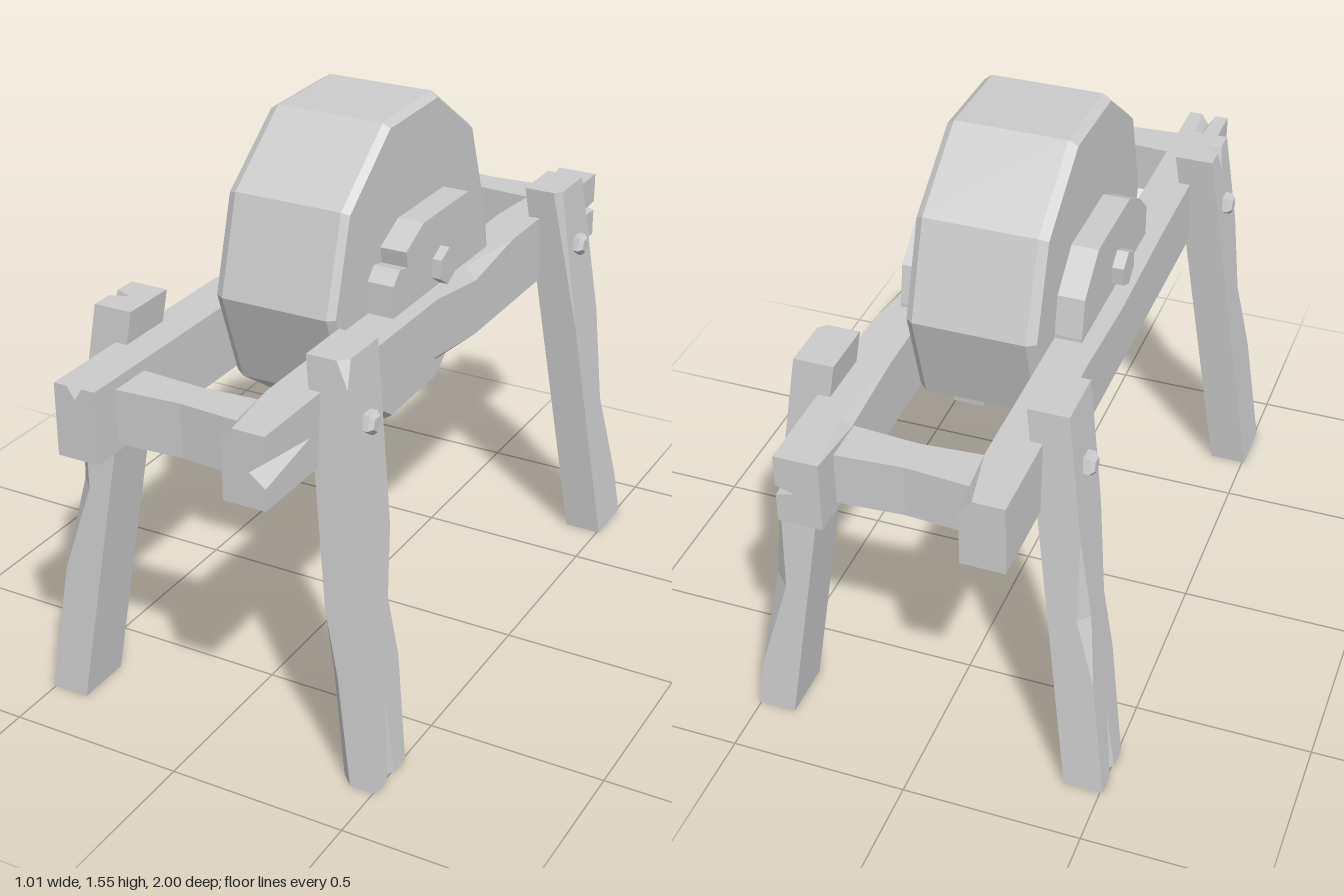
import * as THREE from 'three';

const material = new THREE.MeshStandardMaterial({ color: 0xcccccc, flatShading: true });

function addMesh(parent, name, geometry) {
  const mesh = new THREE.Mesh(geometry, material);
  mesh.name = name;
  parent.add(mesh);
  return mesh;
}

// Beam cross-section in (u, v), counter-clockwise: split on the +u side,
// cut corners at (+u,+v) top, (+u,-v) bottom and (-u,+v) inner
function section(w, h, { split = 0, gap = 0, at = 0, top = 0, bottom = 0, inner = 0 } = {}) {
  const a = w / 2, b = h / 2;
  return [
    [-a, -b], [a - bottom, -b], [a, -b + bottom],
    [a, at - gap], [a - split, at], [a, at + gap],
    [a, b - top], [a - top, b], [-a + inner, b], [-a, b - inner],
  ];
}

// Solid skin through counter-clockwise rings; place(u, v, ringIndex) gives the point in space
function loft(rings, place) {
  const n = rings[0].length;
  const pts = rings.flatMap((ring, k) => ring.map(([u, v]) => new THREE.Vector3(...place(u, v, k))));
  const tris = [];
  for (let k = 0; k < rings.length - 1; k++) {
    for (let i = 0; i < n; i++) {
      const a = k * n + i, b = k * n + (i + 1) % n;
      tris.push([a, b, b + n], [a, b + n, a + n]);
    }
  }
  const cap = (ring) => THREE.ShapeUtils.triangulateShape(ring.map((p) => new THREE.Vector2(...p)), []);
  const last = (rings.length - 1) * n;
  cap(rings[0]).forEach(([a, b, c]) => tris.push([a, c, b]));
  cap(rings[rings.length - 1]).forEach(([a, b, c]) => tris.push([a + last, b + last, c + last]));
  // Signed volume tells whether the skin must be turned outward
  const cross = new THREE.Vector3();
  const volume = tris.reduce((s, [a, b, c]) => s + pts[a].dot(cross.crossVectors(pts[b], pts[c])), 0);
  const order = tris.flatMap(([a, b, c]) => (volume < 0 ? [a, c, b] : [a, b, c]));
  const geometry = new THREE.BufferGeometry().setFromPoints(order.map((i) => pts[i]));
  geometry.computeVertexNormals();
  return geometry;
}

function addRails(group) {
  // Left rail, split along its outer face
  const left = [
    [-1, { split: 0.05, gap: 0.015, at: -0.005 }],
    [-0.8, { inner: 0.025 }],
    [-0.55, {}],
    [-0.38, {}],
    [-0.14, { top: 0.035 }],
    [0.1, { bottom: 0.03 }],
    [0.36, {}],
    [0.79, {}],
    [1, { split: 0.045, gap: 0.035, at: -0.005, inner: 0.03 }],
  ];
  addMesh(group, 'leftRail', loft(left.map(([, cut]) => section(0.12, 0.2, cut)),
    (u, v, k) => [0.24 + u, 0.96 + v, left[k][0]]));

  // Right rail, split along its top
  const right = [
    [-1, { top: 0.035 }],
    [-0.82, {}],
    [-0.4, {}],
    [-0.1, { bottom: 0.015 }],
    [0.3, {}],
    [0.75, {}],
    [1, { split: 0.035, gap: 0.022, at: 0 }],
  ];
  addMesh(group, 'rightRail', loft(right.map(([, cut]) => section(0.2, 0.12, cut)),
    (u, v, k) => [-0.24 + v, 0.96 + u, right[k][0]]));
}

function addCrossBars(group) {
  const stations = [[-0.2, 0.128], [0, 0.1], [0.2, 0.128]];
  for (const side of [1, -1]) {
    addMesh(group, side > 0 ? 'frontCrossBar' : 'backCrossBar',
      loft(stations.map(([, depth]) => section(depth, 0.15)),
        (u, v, k) => [stations[k][0], 0.955 + v, side * 0.85 + u]));
  }
}

// Splayed leg; cuts are listed as [height, section options]
function addLeg(group, name, sx, sz, cuts) {
  const at = (y, low, high) => THREE.MathUtils.lerp(low, high, y / 1.15);
  addMesh(group, name, loft(cuts.map(([, cut]) => section(0.11, 0.165, cut)), (u, v, k) => {
    const y = cuts[k][0];
    return [sx * (at(y, 0.452, 0.31) + u), y, sz * (at(y, 0.75, 0.645) + v)];
  }));
  // Five-sided bolt with a bevelled head, through leg and rail
  const profile = [[0, -0.07], [0.034, -0.07], [0.034, 0.058], [0.022, 0.07], [0, 0.07]];
  const bolt = new THREE.LatheGeometry(profile.map((p) => new THREE.Vector2(...p)), 5);
  bolt.rotateZ(-sx * Math.PI / 2);
  bolt.rotateX(Math.PI / 2);
  bolt.translate(sx * 0.345, 0.966, sz * 0.657);
  addMesh(group, name + 'Bolt', bolt);
}

function addLegs(group) {
  addLeg(group, 'frontLeftLeg', 1, 1, [
    [0, { split: 0.05, gap: 0.018, inner: 0.035 }], [0.22, { inner: 0.025 }], [0.3, { inner: 0.022 }],
    [0.48, { bottom: 0.035 }], [0.66, {}], [1.08, {}], [1.15, { top: 0.025 }],
  ]);
  addLeg(group, 'backLeftLeg', 1, -1, [
    [0, {}], [0.14, {}], [0.43, { top: 0.045 }], [0.72, {}], [1.15, { bottom: 0.02 }],
  ]);
  addLeg(group, 'frontRightLeg', -1, 1, [
    [0, {}], [0.38, {}], [0.63, { top: 0.045 }], [0.86, {}], [1.08, {}],
    [1.15, { split: 0.05, gap: 0.02 }],
  ]);
  addLeg(group, 'backRightLeg', -1, -1, [
    [0, { split: 0.03, gap: 0.02 }], [0.2, {}], [0.35, {}],
    [0.55, { top: 0.03, bottom: 0.03 }], [0.8, {}], [1.15, {}],
  ]);
}

function addWheel(group) {
  // Ten-sided stone with bevelled rims
  const profile = [[0, -0.18], [0.44, -0.18], [0.456, -0.155], [0.456, 0.158], [0.441, 0.178], [0, 0.178]];
  const stone = new THREE.LatheGeometry(profile.map((p) => new THREE.Vector2(...p)), 10);
  stone.rotateZ(-Math.PI / 2);
  stone.rotateX(0.026);
  addMesh(group, 'grindstone', stone).position.y = 1.117;

  const axle = new THREE.CylinderGeometry(0.053, 0.053, 0.57, 6);
  axle.rotateZ(Math.PI / 2);
  axle.rotateX(0.45);
  addMesh(group, 'axle', axle).position.set(-0.003, 1.117, 0);
}

function addBearings(group) {
  // Faceted bearing blocks on the rails, one with a chipped edge (z, y)
  const front = [[0.27, 0.9], [0.27, 1.15]];
  const back = [[0.1, 1.27], [-0.17, 1.27], [-0.28, 1.18], [-0.3, 1.07], [-0.3, 0.9]];
  const whole = [...front, [0.2, 1.215], ...back];
  const chipped = [...front, [0.235, 1.185], [0.19, 1.175], [0.2, 1.222], ...back];
  for (const side of [1, -1]) {
    const outline = side > 0 ? chipped : whole;
    addMesh(group, side > 0 ? 'leftBearing' : 'rightBearing',
      loft([outline, outline], (z, y, k) => [side * (k ? 0.255 : 0.17), y, z]));
  }
}

export function createModel() {
  const group = new THREE.Group();
  group.name = 'grindstoneStand';
  addRails(group);
  addCrossBars(group);
  addLegs(group);
  addWheel(group);
  addBearings(group);
  return group;
}
